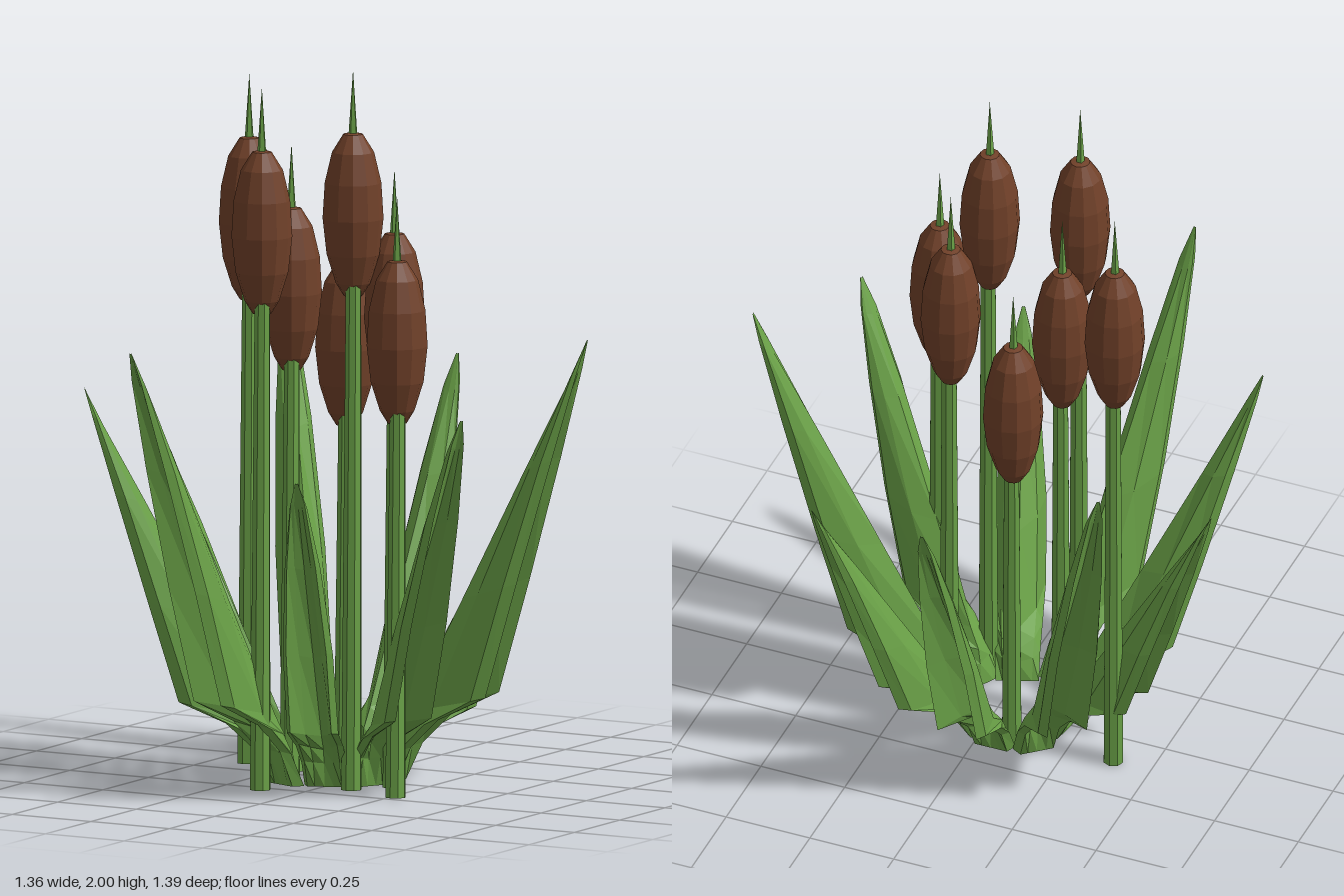
import * as THREE from 'three';

const green = new THREE.MeshStandardMaterial({ color: 0x6aa147 });
green.name = 'leaf green';
green.flatShading = true;
const brown = new THREE.MeshStandardMaterial({ color: 0x714129 });
brown.name = 'seed head brown';
brown.flatShading = true;

function part(geometry, material, name) {
  const mesh = new THREE.Mesh(geometry, material);
  mesh.name = name;
  return mesh;
}

// Blade sections from base to tip: fold reach, fold height, edge reach, edge height, half width, sheet thickness
const SECTIONS = [
  [0.15, 0, 0.18, 0, 0.06, 0.03],
  [0.157, 0.07, 0.225, 0.09, 0.062, 0.03],
  [0.165, 0.115, 0.3, 0.16, 0.067, 0.034],
  [0.2, 0.17, 0.43, 0.22, 0.072, 0.036],
  [0.35, 0.45, 0.515, 0.5, 0.07, 0.034],
  [0.52, 0.77, 0.605, 0.8, 0.05, 0.028],
  [0.64, 0.99, 0.67, 1.02, 0.024, 0.016],
  [0.686, 1.083, 0.69, 1.09, 0.005, 0.003],
];

// Folded sheet seen end on: [share of the way from fold to edge, share of half width]
function foldRing(depth, thickness) {
  const t = Math.min(thickness / depth, 1);
  const shoulder = 0.42 * (1 - t);
  return [
    [0, 0], [shoulder, 0.68], [1 - t, 1], [1, 0.8], [shoulder + t, 0.45],
    [t, 0], [shoulder + t, -0.45], [1, -0.8], [1 - t, -1], [shoulder, -0.68],
  ];
}

function leafGeometry(reach, height) {
  const positions = [], index = [], n = 10;
  for (const [di, yi, dO, yO, w, thickness] of SECTIONS) {
    for (const [t, s] of foldRing(dO - di, thickness)) {
      positions.push((di + (dO - di) * t) * reach, (yi + (yO - yi) * t) * height, w * s);
    }
  }
  for (let i = 0; i < SECTIONS.length - 1; i++) {
    for (let j = 0; j < n; j++) {
      const a = i * n + j, b = i * n + (j + 1) % n;
      index.push(a, b, a + n, b, b + n, a + n);
    }
  }
  // Base and tip caps, stitched across the thickness of the sheet
  const last = (SECTIONS.length - 1) * n;
  for (const [a, b, c] of [[0, 1, 5], [1, 4, 5], [1, 2, 4], [2, 3, 4], [0, 5, 9], [5, 6, 9], [6, 8, 9], [6, 7, 8]]) {
    index.push(a, c, b, last + a, last + b, last + c);
  }
  const g = new THREE.BufferGeometry();
  g.setAttribute('position', new THREE.Float32BufferAttribute(positions, 3));
  g.setIndex(index);
  const flat = g.toNonIndexed();
  flat.computeVertexNormals();
  return flat;
}

// Straight tapered rod between two points
function rod(from, to, r0, r1, sides) {
  const dir = to.clone().sub(from);
  const g = new THREE.CylinderGeometry(r1, r0, dir.length(), sides);
  g.applyQuaternion(new THREE.Quaternion().setFromUnitVectors(new THREE.Vector3(0, 1, 0), dir.clone().normalize()));
  const mid = from.clone().add(to).multiplyScalar(0.5);
  return g.translate(mid.x, mid.y, mid.z);
}

const HEAD = [[0, 0], [0.026, 0.004], [0.048, 0.04], [0.073, 0.12], [0.084, 0.22],
  [0.078, 0.32], [0.058, 0.405], [0.027, 0.455], [0, 0.46]].map(([r, y]) => new THREE.Vector2(r, y));

// Head position x, z and the height of its underside
const REEDS = [
  [-0.415, -0.16, 1.28],
  [-0.15, 0.23, 1.315],
  [0.068, 0.105, 1.365],
  [0.24, 0.16, 1.03],
  [0.145, 0.01, 1.08],
  [-0.2, -0.02, 1.12],
  [-0.12, -0.18, 0.95],
];

export function createModel() {
  const model = new THREE.Group();
  model.name = 'reedClump';

  // Rosette of nine folded blades in three repeating sizes
  const rosette = new THREE.Group();
  rosette.name = 'leaves';
  rosette.position.set(-0.052, 0, 0);
  const sizes = [[0.74, 1.26], [0.635, 0.92], [0.69, 1.09]];
  for (let i = 0; i < 9; i++) {
    const [reach, height] = sizes[i % 3];
    const leaf = part(leafGeometry(reach / 0.69, height / 1.09), green, 'leaf');
    leaf.rotation.y = THREE.MathUtils.degToRad(10.5 + 40 * i);
    rosette.add(leaf);
  }
  model.add(rosette);

  // Reeds: leaning stem, seed head and spike
  for (const [x, z, y] of REEDS) {
    const reed = new THREE.Group();
    reed.name = 'reed';
    const foot = new THREE.Vector3(x + 0.028, 0, z + 0.058);
    const neck = new THREE.Vector3(x + 0.013, y + 0.04, z + 0.02);
    reed.add(part(rod(foot, neck, 0.029, 0.022, 8), green, 'stem'));

    const head = part(new THREE.LatheGeometry(HEAD, 12), brown, 'seedHead');
    head.position.set(x, y, z);
    reed.add(head);

    const spike = part(new THREE.ConeGeometry(0.014, 0.2, 5), green, 'spike');
    spike.position.set(x, y + 0.535, z);
    reed.add(spike);
    model.add(reed);
  }
  return model;
}
